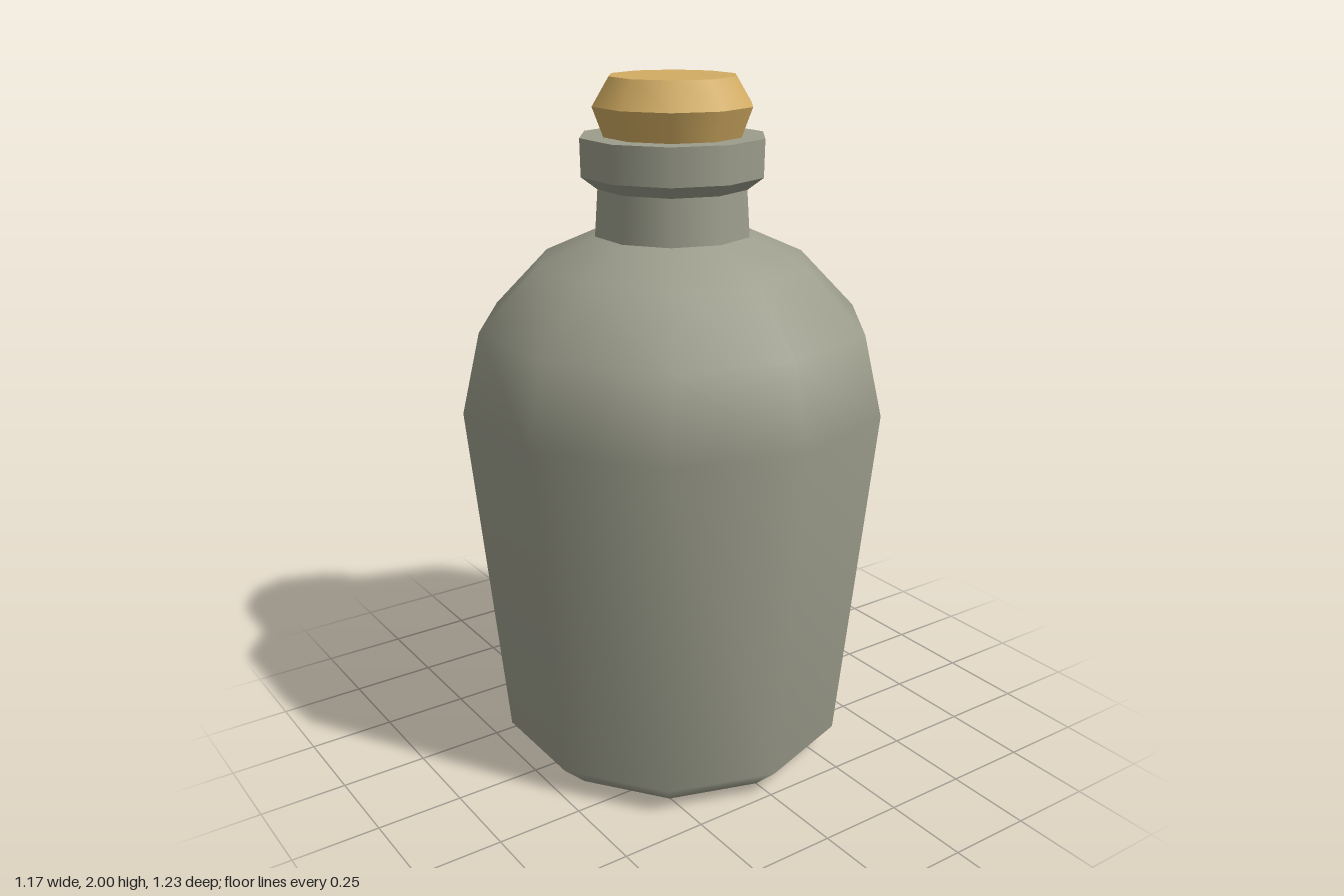
import * as THREE from 'three';

const SIDES = 10;

// Each band is a list of [radius, height], bottom to top; edges stay sharp between bands
function turned(name, material, bands) {
  const group = new THREE.Group();
  group.name = name;
  for (const [part, points] of Object.entries(bands)) {
    const profile = points.map(([r, y]) => new THREE.Vector2(r, y));
    const mesh = new THREE.Mesh(new THREE.LatheGeometry(profile, SIDES), material);
    mesh.name = part;
    group.add(mesh);
  }
  return group;
}

export function createModel() {
  const glass = new THREE.MeshStandardMaterial({ color: 0x9c9d8c });
  glass.name = 'grey green glass';
  const corkWood = new THREE.MeshStandardMaterial({ color: 0xd2ac62 });
  corkWood.name = 'cork';

  const model = new THREE.Group();
  model.name = 'corkedBottle';

  // Tapered body with rounded shoulders
  model.add(turned('body', glass, {
    base: [[0, 0], [0.43, 0]],
    wall: [[0.43, 0], [0.515, 0.08], [0.614, 1.09], [0.56, 1.32], [0.39, 1.495], [0.225, 1.57]],
  }));

  // Neck and the collar around the mouth
  model.add(turned('neck', glass, {
    neckTube: [[0.225, 1.57], [0.216, 1.7]],
    collarFlare: [[0.216, 1.7], [0.262, 1.735]],
    collarBand: [[0.262, 1.735], [0.264, 1.84]],
    collarTop: [[0.264, 1.84], [0, 1.84]],
  }));

  // Stopper, widest in the middle
  model.add(turned('stopper', corkWood, {
    stopperLower: [[0.197, 1.84], [0.228, 1.922]],
    stopperUpper: [[0.228, 1.922], [0.18, 2]],
    stopperTop: [[0.18, 2], [0, 2]],
  }));

  return model;
}
